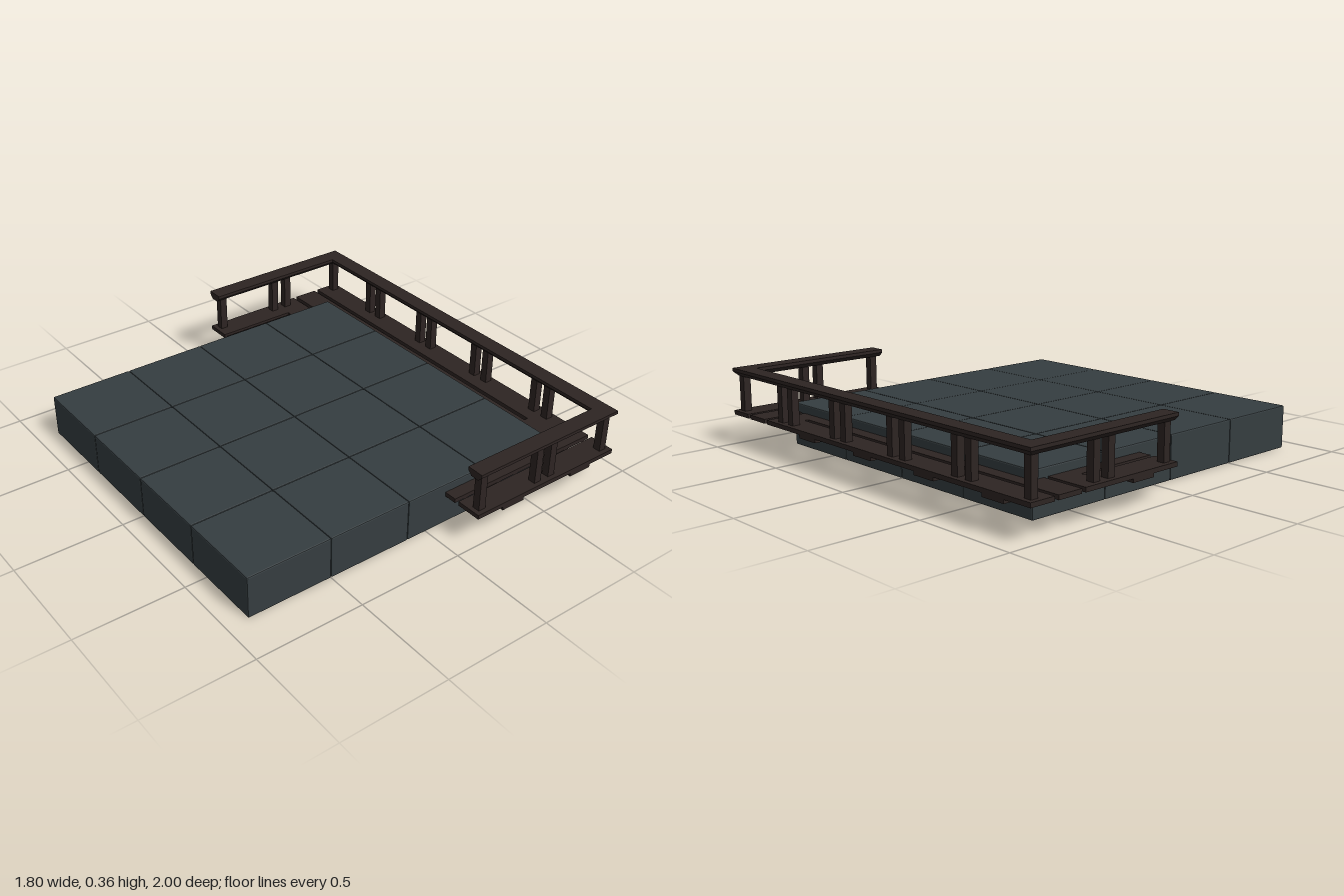
import * as THREE from 'three';
import { RoundedBoxGeometry } from 'three/addons/geometries/RoundedBoxGeometry.js';

const stone = new THREE.MeshStandardMaterial({ color: 0x353d40, flatShading: true });
const wood = new THREE.MeshStandardMaterial({ color: 0x2d2422, flatShading: true });

function add(parent, name, geometry, material, x = 0, y = 0, z = 0) {
  const mesh = new THREE.Mesh(geometry, material);
  mesh.name = name;
  mesh.position.set(x, y, z);
  parent.add(mesh);
  return mesh;
}

function subgroup(parent, name) {
  const g = new THREE.Group();
  g.name = name;
  parent.add(g);
  return g;
}

// Chamfered handrail section swept around a mitred U path
function handrailGeometry() {
  // [inset from outer edge, height]
  const profile = [[0, 0.36], [0, 0.345], [0.02, 0.325], [0.06, 0.325], [0.08, 0.345], [0.08, 0.36]];
  const rings = [
    profile.map(([d, y]) => [0.1, y, d - 1]),
    profile.map(([d, y]) => [0.9 - d, y, d - 1]),
    profile.map(([d, y]) => [0.9 - d, y, 1 - d]),
    profile.map(([d, y]) => [0.1, y, 1 - d]),
  ];
  const n = profile.length;
  const pos = [];
  const tri = (a, b, c) => pos.push(...a, ...b, ...c);
  for (let s = 0; s < rings.length - 1; s++) {
    for (let i = 0; i < n; i++) {
      const j = (i + 1) % n;
      const [p, q] = [rings[s], rings[s + 1]];
      tri(p[i], q[i], p[j]);
      tri(p[j], q[i], q[j]);
    }
  }
  // End caps
  for (let i = 1; i < n - 1; i++) {
    tri(rings[0][0], rings[0][i], rings[0][i + 1]);
    tri(rings[3][0], rings[3][i + 1], rings[3][i]);
  }
  const g = new THREE.BufferGeometry();
  g.setAttribute('position', new THREE.Float32BufferAttribute(pos, 3));
  g.computeVertexNormals();
  return g;
}

export function createModel() {
  const model = new THREE.Group();
  model.name = 'platformWithWalkway';

  // Stone platform: four by four chamfered blocks
  const platform = subgroup(model, 'platform');
  const block = new RoundedBoxGeometry(0.4, 0.2, 0.4, 1, 0.006);
  for (let i = 0; i < 4; i++) {
    for (let k = 0; k < 4; k++) {
      add(platform, 'stoneBlock', block, stone, -0.7 + i * 0.4, 0.1, -0.6 + k * 0.4);
    }
  }

  // Walkway sections: three planks over one cross support; [x, z, planks run along z]
  const walkway = subgroup(model, 'walkway');
  const plank = new THREE.BoxGeometry(0.4, 0.02, 0.12);
  const support = new THREE.BoxGeometry(0.12, 0.016, 0.4);
  const sections = [
    [0.3, 0.8, false], [0.7, 0.8, false], [0.3, -0.8, false],
    [0.7, 0.4, true], [0.7, 0, true], [0.7, -0.4, true], [0.7, -0.8, true],
  ];
  for (const [x, z, turned] of sections) {
    const section = subgroup(walkway, 'walkwaySection');
    section.position.set(x, 0, z);
    section.rotation.y = turned ? Math.PI / 2 : 0;
    for (const offset of [-0.14, 0, 0.14]) add(section, 'plank', plank, wood, 0, 0.15, offset);
    add(section, 'crossSupport', support, wood, 0, 0.132, 0);
  }

  // Railing: posts near both ends of every section, shared at the corners
  const railing = subgroup(model, 'railing');
  const post = new THREE.BoxGeometry(0.036, 0.175, 0.036);
  const addPost = (x, z) => add(railing, 'post', post, wood, x, 0.243, z);
  for (const side of [-1, 1]) {
    for (const x of [0.14, 0.46, 0.54, 0.86]) addPost(x, side * 0.96);
    for (const z of [0.16, 0.24, 0.56, 0.64]) addPost(0.86, side * z);
  }
  add(railing, 'handrail', handrailGeometry(), wood);

  return model;
}
